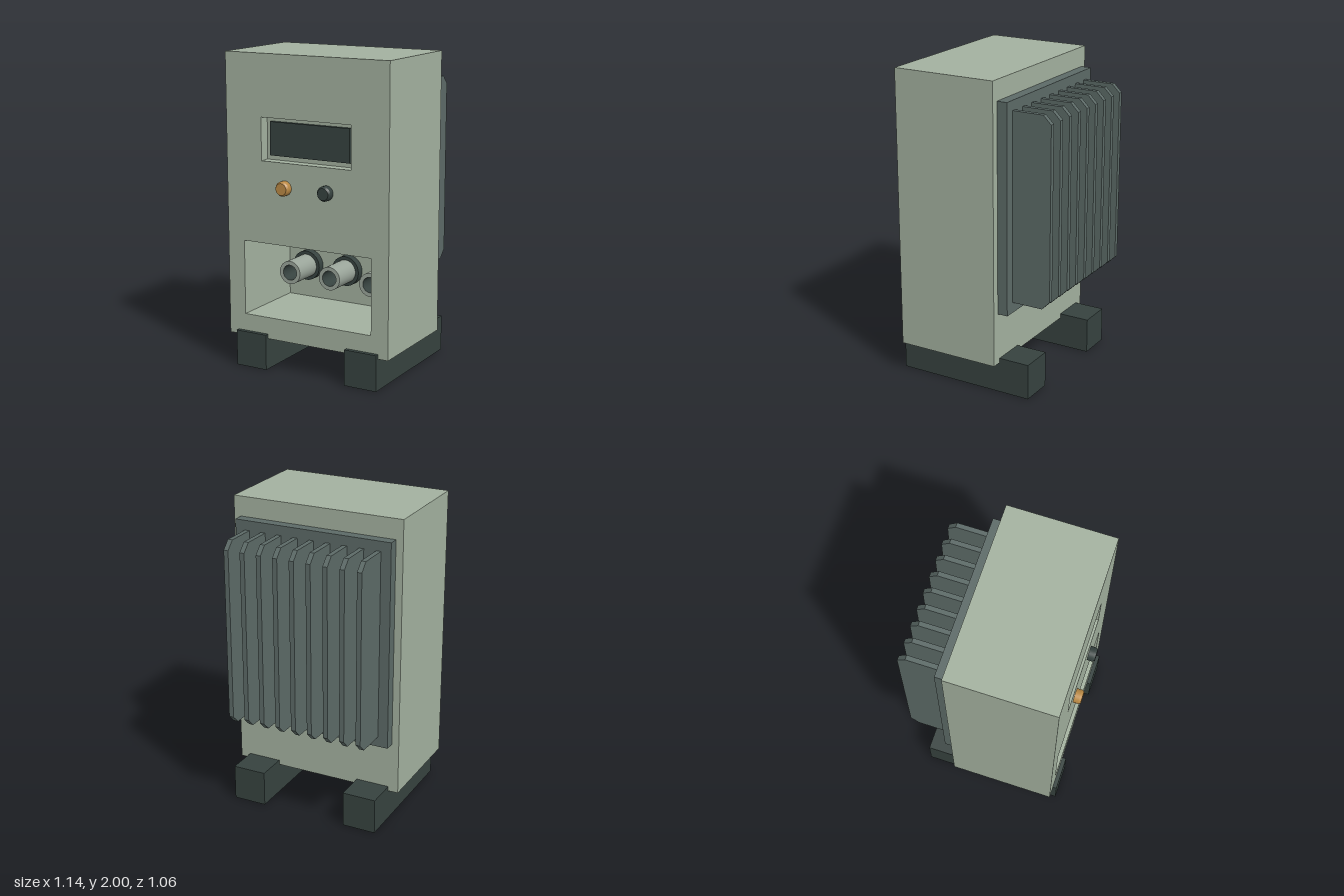
import * as THREE from 'three';

const mat = (color) => new THREE.MeshStandardMaterial({ color });

export function createModel() {
  const root = new THREE.Group();
  const shell = mat(0xa3b19f), dark = mat(0x36423f), metal = mat(0x5c6a67);
  const pale = mat(0x9aa59a), amber = mat(0xbb8a45);

  const add = (name, geometry, material, x = 0, y = 0, z = 0, parent = root) => {
    const mesh = new THREE.Mesh(geometry, material);
    mesh.name = name;
    mesh.position.set(x, y, z);
    parent.add(mesh);
    return mesh;
  };
  // box given by its limits
  const block = (name, material, x0, x1, y0, y1, z0, z1) =>
    add(name, new THREE.BoxGeometry(x1 - x0, y1 - y0, z1 - z0), material,
      (x0 + x1) / 2, (y0 + y1) / 2, (z0 + z1) / 2);
  // box open at +z; inward = true turns it into the lining of a recess
  const openBox = (name, halfW, y0, y1, z0, z1, inward) => {
    const g = new THREE.BoxGeometry(halfW * 2, y1 - y0, z1 - z0);
    const index = Array.from(g.index.array);
    index.splice(24, 6); // the +z face
    g.setIndex(index);
    g.clearGroups();
    if (inward) {
      g.scale(-1, 1, 1);
      g.computeVertexNormals();
    }
    return add(name, g, shell, 0, (y0 + y1) / 2, (z0 + z1) / 2);
  };
  const rect = (path, halfW, y0, y1) =>
    path.moveTo(-halfW, y0).lineTo(halfW, y0).lineTo(halfW, y1).lineTo(-halfW, y1).closePath();
  // profile of [radius, z] points turned about the z axis
  const turned = (points, segments = 32) => {
    const out = [];
    // doubled corners keep the edges sharp
    for (let i = 0; i < points.length - 1; i++) {
      out.push(new THREE.LatheGeometry(
        [points[i], points[i + 1]].map(([r, z]) => new THREE.Vector2(r, z)), segments).rotateX(Math.PI / 2));
    }
    return out;
  };
  const addTurned = (name, points, material, x, y, z) => {
    const group = new THREE.Group();
    group.name = name;
    group.position.set(x, y, z);
    turned(points).forEach((g) => add(name + 'Surface', g, material, 0, 0, 0, group));
    root.add(group);
  };

  // cabinet with a display recess and a connector bay
  const FRONT = 0.48, BACK = -0.205, BAY_BACK = -0.055;
  openBox('cabinet', 0.57, 0.2, 2, BACK, FRONT, false);
  const face = rect(new THREE.Shape(), 0.57, 0.2, 2);
  face.holes.push(rect(new THREE.Path(), 0.315, 1.34, 1.61), rect(new THREE.Path(), 0.452, 0.34, 0.82));
  add('frontPanel', new THREE.ShapeGeometry(face), shell, 0, 0, FRONT);
  openBox('displayRecess', 0.315, 1.34, 1.61, 0.41, FRONT, true);
  openBox('connectorBay', 0.452, 0.34, 0.82, BAY_BACK, FRONT, true);
  block('displayScreen', dark, -0.28, 0.28, 1.37, 1.58, 0.41, 0.435);

  // push buttons with a bevelled rim
  const button = [[0.046, 0], [0.046, 0.034], [0.037, 0.048], [0, 0.048]];
  addTurned('amberButton', button, amber, -0.147, 1.185, FRONT);
  addTurned('darkButton', button, dark, 0.147, 1.185, FRONT);

  // connectors: flange on the bay wall, hollow barrel, dark bore
  for (const x of [-0.293, 0, 0.293]) {
    addTurned('connectorFlange', [[0.098, 0], [0.098, 0.05], [0, 0.05]], dark, x, 0.563, BAY_BACK);
    addTurned('connectorBarrel', [[0.076, 0.05], [0.076, 0.255], [0.05, 0.255]], pale, x, 0.563, BAY_BACK);
    addTurned('connectorBore', [[0.05, 0.255], [0.05, 0.1], [0, 0.1]], dark, x, 0.563, BAY_BACK);
  }

  // rail feet
  for (const s of [-1, 1]) {
    const x = s * 0.394;
    block('footRail', dark, x - 0.11, x + 0.11, 0, 0.23, -0.408, 0.507);
  }

  // heat sink: base plate and fins with clipped outer corners
  block('heatSinkPlate', metal, -0.523, 0.523, 0.535, 1.872, -0.272, BACK);
  const fin = new THREE.Shape();
  fin.moveTo(0.265, 0.602).lineTo(0.475, 0.602).lineTo(0.528, 0.655)
    .lineTo(0.528, 1.757).lineTo(0.475, 1.81).lineTo(0.265, 1.81).closePath();
  const finGeometry = new THREE.ExtrudeGeometry(fin, { depth: 0.031, bevelEnabled: false });
  finGeometry.translate(0, 0, -0.0155).rotateY(Math.PI / 2); // shape x runs towards -z
  for (let i = -4; i <= 4; i++) add('heatSinkFin', finGeometry, metal, i * 0.1105, 0, 0);

  return root;
}
